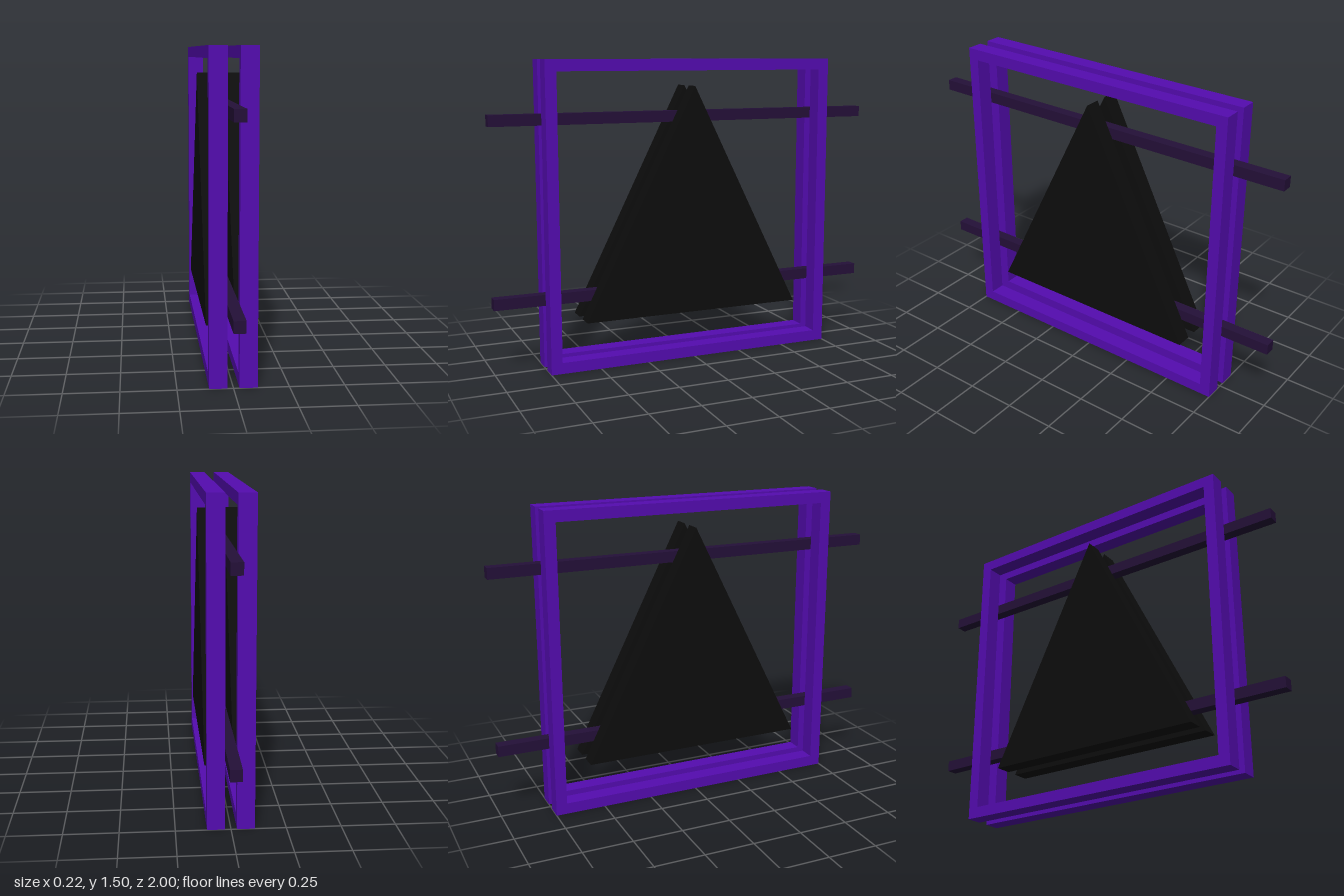
import * as THREE from 'three';

const INNER = 0.027, DEPTH = 0.081; // panel gap and thickness along x

export function createModel() {
  const model = new THREE.Group();
  const purple = new THREE.MeshStandardMaterial({ color: 0x540cb0 });
  purple.name = 'purple';
  const darkPlum = new THREE.MeshStandardMaterial({ color: 0x241038 });
  darkPlum.name = 'dark plum';
  const black = new THREE.MeshStandardMaterial({ color: 0x0d0d0d });
  black.name = 'black';

  // Square outline with a square opening
  const frameShape = new THREE.Shape([
    new THREE.Vector2(-0.75, 0), new THREE.Vector2(0.75, 0),
    new THREE.Vector2(0.75, 1.5), new THREE.Vector2(-0.75, 1.5),
  ]);
  frameShape.holes.push(new THREE.Path([
    new THREE.Vector2(-0.695, 0.055), new THREE.Vector2(-0.695, 1.445),
    new THREE.Vector2(0.695, 1.445), new THREE.Vector2(0.695, 0.055),
  ]));

  const triangleShape = new THREE.Shape([
    new THREE.Vector2(-0.567, 0.237), new THREE.Vector2(0.567, 0.237),
    new THREE.Vector2(0, 1.37),
  ]);

  // Extrude a z-y outline along x, starting at the given x
  const panel = (name, shape, material, x) => {
    const geometry = new THREE.ExtrudeGeometry(shape, { depth: DEPTH, bevelEnabled: false });
    geometry.rotateY(Math.PI / 2);
    const mesh = new THREE.Mesh(geometry, material);
    mesh.name = name;
    mesh.position.x = x;
    model.add(mesh);
  };

  // A frame and a triangle on each side of the rails
  for (const [side, x] of [['left', INNER], ['right', -INNER - DEPTH]]) {
    panel(side + 'Frame', frameShape, purple, x);
    panel(side + 'Triangle', triangleShape, black, x);
  }

  // Long rails sandwiched between the panels
  for (const [name, y] of [['lowerRail', 0.352], ['upperRail', 1.22]]) {
    const rail = new THREE.Mesh(new THREE.BoxGeometry(INNER * 2, 0.054, 2), darkPlum);
    rail.name = name;
    rail.position.y = y;
    model.add(rail);
  }

  return model;
}
